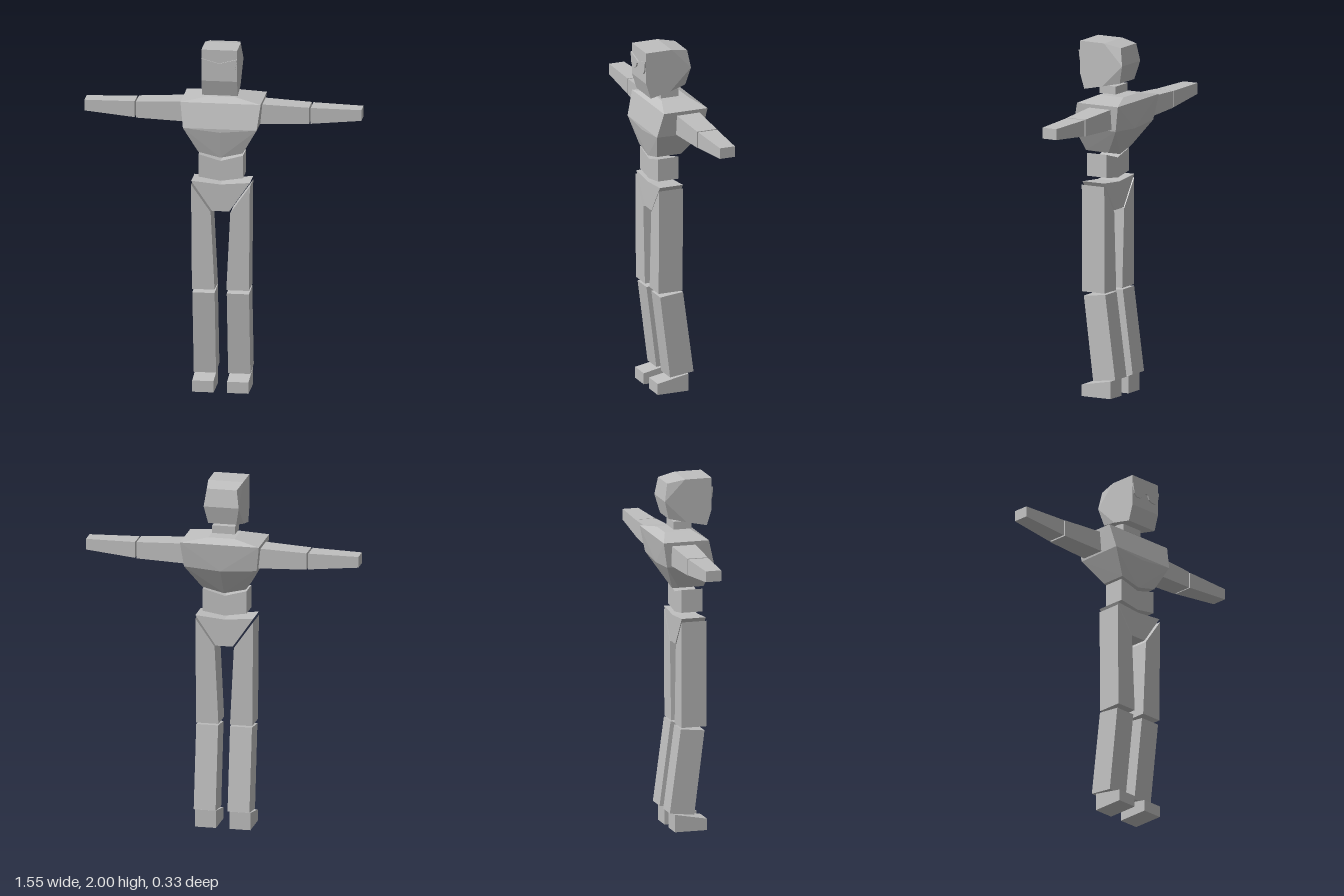
import * as THREE from 'three';
import { ConvexGeometry } from 'three/addons/geometries/ConvexGeometry.js';

const gray = new THREE.MeshStandardMaterial({ color: 0xbfbfbf, flatShading: true });
gray.name = 'plain gray';

// Solid from an outline in (x, y), running from z0 to z1
function frontSolid(points, z0, z1) {
  const shape = new THREE.Shape(points.map(([x, y]) => new THREE.Vector2(x, y)));
  return new THREE.ExtrudeGeometry(shape, { depth: z1 - z0, bevelEnabled: false }).translate(0, 0, z0);
}

// Solid from an outline in (z, y), running from x0 to x1
function sideSolid(points, x0, x1) {
  return frontSolid(points, -x1, -x0).rotateY(-Math.PI / 2);
}

// Faceted solid around corner points
function hull(points) {
  return new ConvexGeometry(points.map((p) => new THREE.Vector3(...p)));
}

// Adds the mirror image of every corner across x = 0
const bothSides = (points) => points.flatMap(([x, y, z]) => (x ? [[x, y, z], [-x, y, z]] : [[x, y, z]]));

// Mirrors an outline in (x, y) to close it around x = 0
const mirrorOutline = (half) => [...half, ...half.filter(([x]) => x > 0).reverse().map(([x, y]) => [-x, y])];

// Limb section: [x at top, x at bottom, y0, y1, z0, z1]
const limbEnd = ([xTop, xLow, y0, y1, z0, z1]) => [[xLow, y0, z0], [xLow, y0, z1], [xTop, y1, z0], [xTop, y1, z1]];

export function createModel() {
  const model = new THREE.Group();
  model.name = 'figure';
  const add = (name, geometry, parent = model) => {
    const mesh = new THREE.Mesh(geometry, gray);
    mesh.name = name;
    parent.add(mesh);
  };

  // Head, with bevelled crown, back and jaw
  add('head', hull(bothSides([
    [0.1, 2, 0.155], [0.1, 1.82, 0.155], [0.1, 1.73, 0.127],
    [0.1, 2, 0], [0.1, 1.84, 0], [0.1, 1.755, 0.01],
    [0.085, 1.98, -0.1], [0.1, 1.88, -0.117], [0.08, 1.777, -0.09],
  ])));
  add('neck', new THREE.BoxGeometry(0.13, 0.045, 0.105).translate(0, 1.732, -0.003));

  // Chest, from collar to ribs
  add('chest', hull(bothSides([
    [0.075, 1.7, 0.05], [0.075, 1.7, -0.11],
    [0.225, 1.675, 0.1], [0.225, 1.675, -0.163],
    [0.207, 1.535, 0.135], [0, 1.515, 0.135], [0.207, 1.53, -0.138], [0, 1.515, -0.14],
    [0.125, 1.39, 0.1], [0, 1.36, 0.1], [0.125, 1.39, -0.045], [0, 1.36, -0.045],
  ])));

  // Waist and hips
  add('waist', frontSolid(mirrorOutline([[0, 1.225], [0.125, 1.245], [0.125, 1.375], [0, 1.34]]), -0.03, 0.095));
  add('pelvis', frontSolid(mirrorOutline([[0.048, 1.05], [0.165, 1.22], [0, 1.205]]), -0.04, 0.1));

  for (const side of [1, -1]) {
    const word = side > 0 ? 'left' : 'right';
    const flip = (points) => points.map(([x, ...rest]) => [x * side, ...rest]);
    const between = (a, b) => (side > 0 ? [a, b] : [-b, -a]);

    // Thin eyewear plate, raised at the outer corner
    add(word + 'Lens', frontSolid(flip([
      [0, 1.923], [0.1, 1.95], [0.098, 1.93], [0.09, 1.89], [0.075, 1.873],
      [0.045, 1.873], [0.025, 1.885], [0.014, 1.91], [0, 1.914],
    ]), 0.155, 0.163));

    // Arm
    const arm = new THREE.Group();
    arm.name = word + 'Arm';
    add('upperArm', hull(flip([
      ...limbEnd([0.224, 0.212, 1.54, 1.655, -0.115, 0.022]),
      ...limbEnd([0.485, 0.485, 1.548, 1.643, -0.106, 0.012]),
    ])), arm);
    add('forearm', hull(flip([
      ...limbEnd([0.494, 0.494, 1.55, 1.642, -0.105, 0.01]),
      ...limbEnd([0.777, 0.777, 1.575, 1.637, -0.09, 0]),
    ])), arm);
    model.add(arm);

    // Leg
    const leg = new THREE.Group();
    leg.name = word + 'Leg';
    add('thigh', frontSolid(flip([[0.165, 1.2], [0.055, 1.043], [0.033, 0.595], [0.16, 0.595]]), -0.04, 0.105), leg);
    add('shin', sideSolid([[0.095, 0.572], [-0.043, 0.587], [-0.107, 0.11], [0.035, 0.093]], ...between(0.034, 0.159)), leg);
    add('foot', sideSolid([[0.11, 0], [0.11, 0.065], [-0.077, 0.1], [-0.077, 0]], ...between(0.038, 0.158)), leg);
    model.add(leg);
  }
  return model;
}
